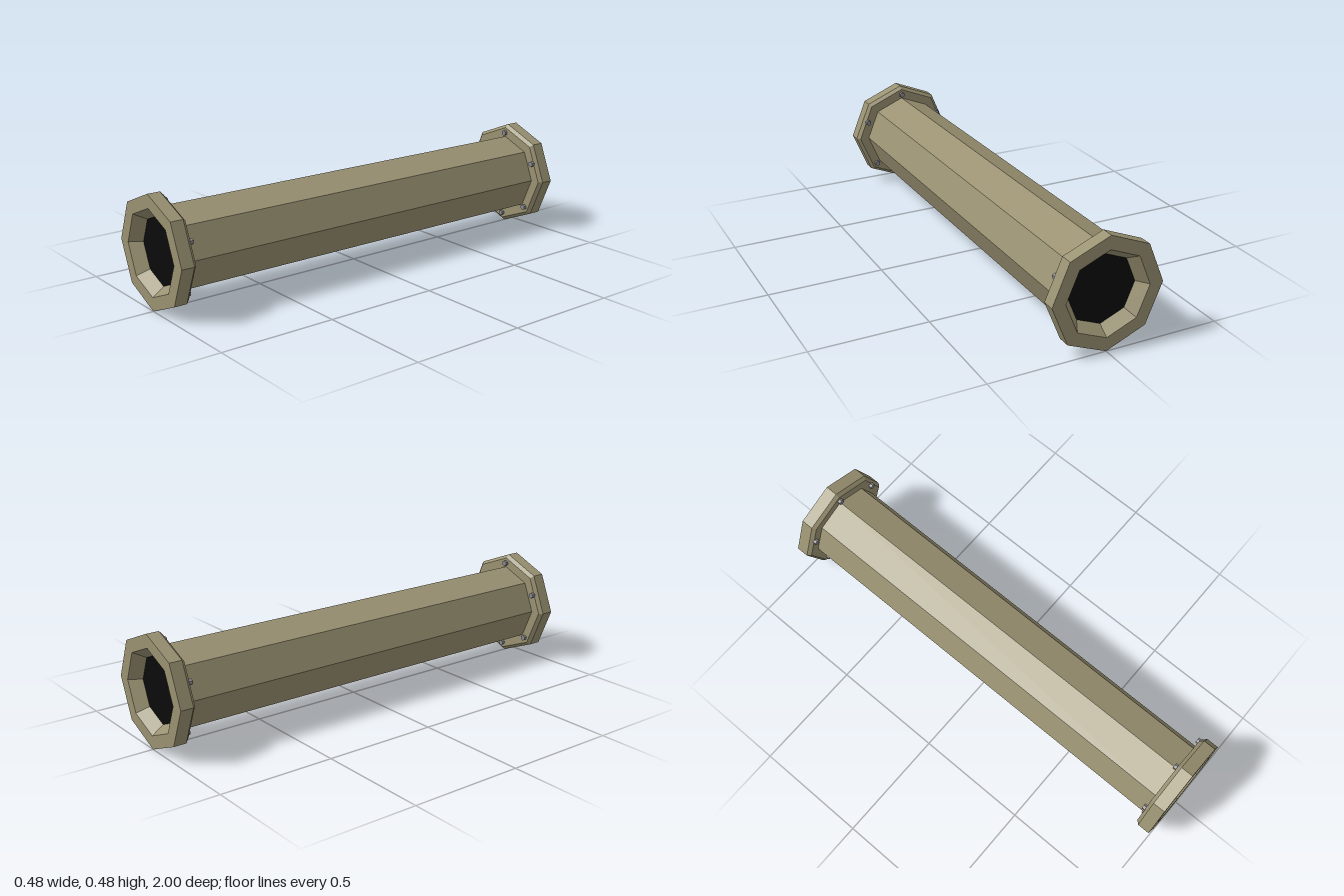
import * as THREE from 'three';

const SIDES = 8;
const AXIS_Y = 0.24;

export function createModel() {
  const paint = new THREE.MeshStandardMaterial({ color: 0x9a9272, flatShading: true });
  const steel = new THREE.MeshStandardMaterial({ color: 0x8a8a92, flatShading: true });
  const dark = new THREE.MeshStandardMaterial({ color: 0x0a0a0a });

  const model = new THREE.Group();
  model.name = 'pipe';

  const add = (parent, name, geometry, material) => {
    const mesh = new THREE.Mesh(geometry, material);
    mesh.name = name;
    parent.add(mesh);
    return mesh;
  };

  // Octagonal tube along z
  const tube = new THREE.CylinderGeometry(0.182, 0.182, 1.87, SIDES, 1, true).rotateX(Math.PI / 2);
  add(model, 'tube', tube, paint).position.y = AXIS_Y;

  // Flange section (radius, distance along the axis): chamfered rim, flat face, tapering mouth
  const profile = [
    [0.17, 0.93], [0.225, 0.93], [0.24, 0.945], [0.24, 1], [0.182, 1], [0.147, 0.95],
  ].map(([r, z]) => new THREE.Vector2(r, z));
  const flange = new THREE.LatheGeometry(profile, SIDES).rotateX(Math.PI / 2);

  // Dark plug closing the mouth
  const plug = new THREE.CircleGeometry(0.147, SIDES).translate(0, 0, 0.95);

  // Small hexagonal bolts on the inner face of the flange
  const bolt = new THREE.CylinderGeometry(0.013, 0.013, 0.016, 6).rotateX(Math.PI / 2);
  const boltAngles = [90, 24, -44, -90, -136, 156];

  for (const [name, turn] of [['frontEnd', 0], ['backEnd', Math.PI]]) {
    const end = new THREE.Group();
    end.name = name;
    end.position.y = AXIS_Y;
    end.rotation.y = turn;
    add(end, 'flange', flange, paint);
    add(end, 'mouthPlug', plug, dark);
    for (const degrees of boltAngles) {
      const a = THREE.MathUtils.degToRad(degrees);
      add(end, 'bolt', bolt, steel).position.set(0.2 * Math.cos(a), 0.2 * Math.sin(a), 0.925);
    }
    model.add(end);
  }
  return model;
}
